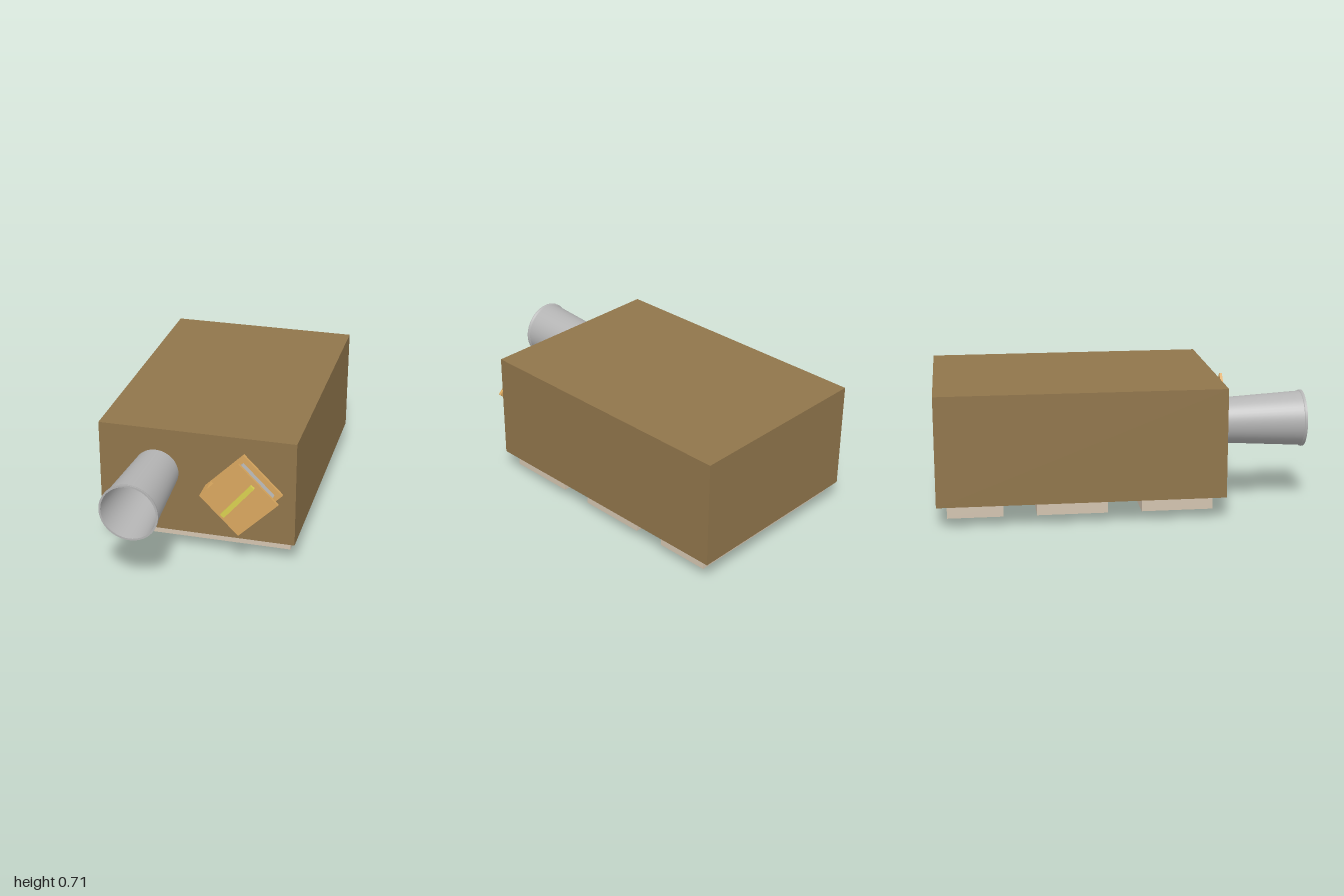
import * as THREE from 'three';

const mat = (color, extra = {}) => new THREE.MeshStandardMaterial({ color, ...extra });

function add(parent, name, geometry, material, x = 0, y = 0, z = 0) {
  const mesh = new THREE.Mesh(geometry, material);
  mesh.name = name;
  mesh.position.set(x, y, z);
  parent.add(mesh);
  return mesh;
}

const box = (w, h, d) => new THREE.BoxGeometry(w, h, d);

export function createModel() {
  const model = new THREE.Group();
  const brown = mat(0x90754b);
  const plankMat = mat(0xd3c4b0);
  const knobMat = mat(0xb0957a);
  const orange = mat(0xd9a75f);
  const yellow = mat(0xd9d050);
  const grey = mat(0xb4b4b4);
  const pipeMat = mat(0xb4b4b4, { side: THREE.DoubleSide });

  // Main body
  add(model, 'body', box(1.06, 0.59, 1.53), brown, 0, 0.42, -0.235);

  // Planks below, each with a knob made of two crossed cylinders
  const planks = [
    { front: 0.46, back: 0.08, knob: [0, 0.064, 0.3] },
    { front: -0.1, back: -0.475, knob: [0.017, 0.044, -0.275] },
    { front: -0.65, back: -0.945, knob: [0.017, 0.044, -0.8] },
  ];
  const r = 0.043;
  const knobGeometry = new THREE.CylinderGeometry(r, r, 2 * r, 24);
  for (const { front, back, knob } of planks) {
    add(model, 'plank', box(0.99, 0.07, front - back), plankMat, 0, 0.09, (front + back) / 2);
    const group = new THREE.Group();
    group.name = 'knob';
    group.position.set(...knob);
    add(group, 'knobAlongZ', knobGeometry, knobMat).rotation.x = Math.PI / 2;
    add(group, 'knobAlongX', knobGeometry, knobMat).rotation.z = Math.PI / 2;
    model.add(group);
  }

  // Flared pipe: outer wall, lip and inner wall, turned to point forward
  const pipe = new THREE.Group();
  pipe.name = 'pipe';
  pipe.position.set(-0.22, 0.47, 0);
  pipe.rotation.x = Math.PI / 2;
  const lathe = (name, points) => add(pipe, name,
    new THREE.LatheGeometry(points.map(([a, b]) => new THREE.Vector2(a, b)), 48), pipeMat);
  lathe('pipeOuterWall', [[0.122, 0.53], [0.149, 0.985]]);
  lathe('pipeLip', [[0.149, 0.985], [0.155, 0.99], [0.155, 1]]);
  lathe('pipeRim', [[0.155, 1], [0.145, 1]]);
  lathe('pipeInnerWall', [[0.145, 1], [0.119, 0.56]]);
  lathe('pipeFloor', [[0.119, 0.56], [0, 0.56]]);
  add(pipe, 'pipeFloorDisc', new THREE.CylinderGeometry(0.095, 0.097, 0.008, 48), pipeMat, 0, 0.564, 0);
  model.add(pipe);

  // Diamond housing: two plates, one closed side and a recessed core
  const housing = new THREE.Group();
  housing.name = 'housing';
  housing.position.set(0.255, 0.42, 0);
  housing.rotation.z = Math.PI / 4;
  const side = 0.294;
  add(housing, 'backPlate', box(side, side, 0.018), orange, 0, 0, 0.538);
  add(housing, 'frontPlate', box(side, side, 0.015), orange, 0, 0, 0.643);
  add(housing, 'closedSide', box(0.05, side, 0.09), orange, -side / 2 + 0.025, 0, 0.592);
  add(housing, 'core', box(0.214, 0.234, 0.09), grey, 0.01, 0, 0.592);
  model.add(housing);

  // Slanted bar on the front plate
  add(model, 'bar', box(0.246, 0.025, 0.018), yellow, 0.252, 0.419, 0.658)
    .rotation.z = THREE.MathUtils.degToRad(50);

  return model;
}
